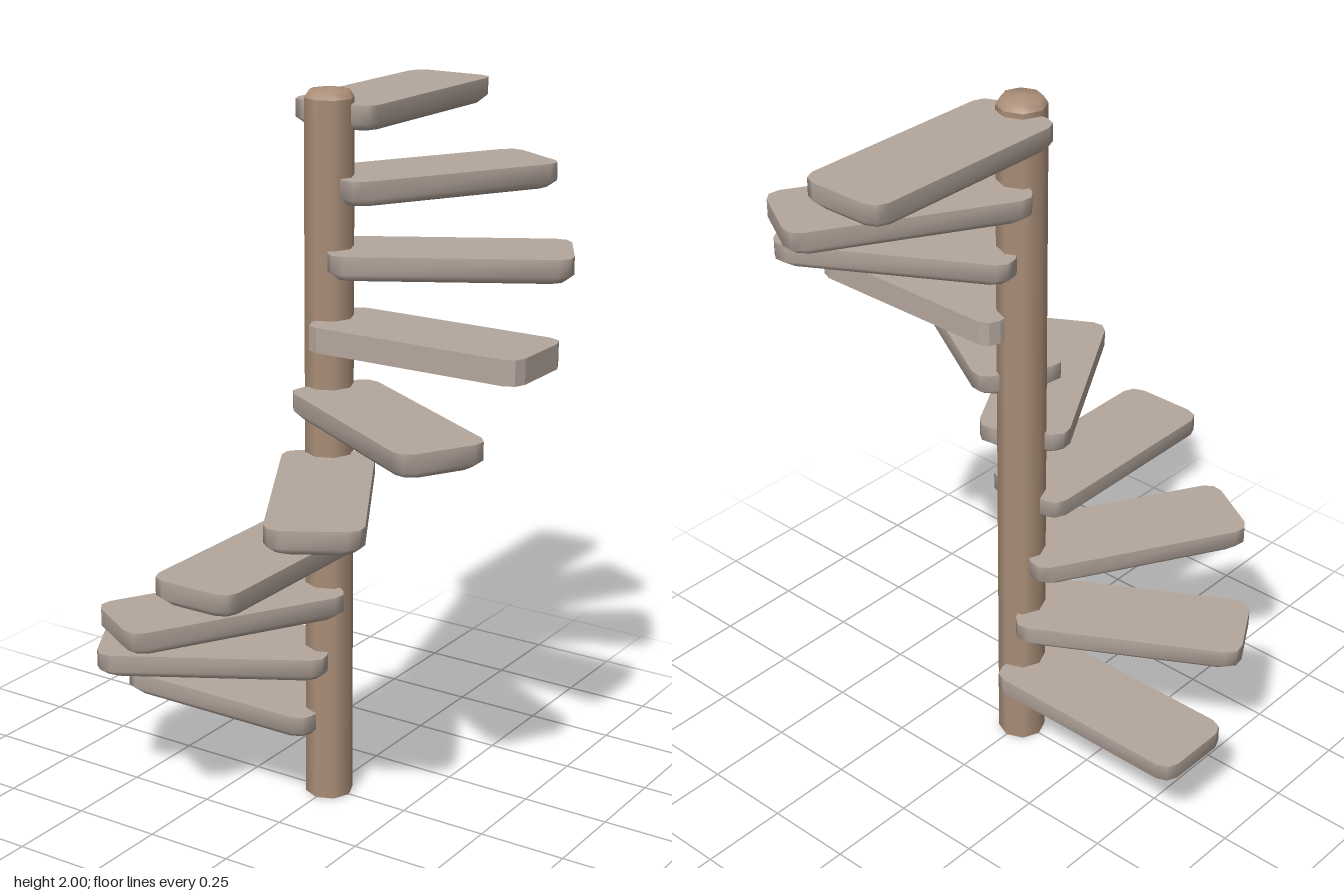
import * as THREE from 'three';

const LENGTH = 0.64, HALF_WIDTH = 0.126, THICKNESS = 0.068, BEVEL = 0.02;

// Rounded rectangle from x = 0 to LENGTH, corners cut by two segments each
function outline(inset, y) {
  const r = 0.042, points = [];
  const corners = [[LENGTH - inset - r, 1], [inset + r, 1], [inset + r, -1], [LENGTH - inset - r, -1]];
  corners.forEach(([cx, side], c) => {
    const cz = side * (HALF_WIDTH - inset - r);
    for (let k = 0; k < 3; k++) {
      const a = (c + k / 2) * Math.PI / 2;
      points.push([cx + r * Math.cos(a), y, cz + r * Math.sin(a)]);
    }
  });
  return points;
}

// Tread with a sharp top edge and, if bevelled, a softened underside
function treadGeometry(bevelled) {
  const rings = bevelled
    ? [outline(BEVEL, 0), outline(0, BEVEL), outline(0, THICKNESS)]
    : [outline(0, 0), outline(0, THICKNESS)];
  const n = rings[0].length;
  const vertices = rings.flat(), index = [];
  for (let r = 0; r < rings.length - 1; r++) {
    for (let i = 0; i < n; i++) {
      const j = (i + 1) % n, a = r * n + i, b = r * n + j;
      index.push(a, a + n, b, b, a + n, b + n);
    }
  }
  // underside fan shares the lowest ring
  const bottom = vertices.push([LENGTH / 2, 0, 0]) - 1;
  // top fan has its own ring, so it stays flat
  const top = vertices.length;
  vertices.push(...rings[rings.length - 1]);
  const centre = vertices.push([LENGTH / 2, THICKNESS, 0]) - 1;
  for (let i = 0; i < n; i++) {
    const j = (i + 1) % n;
    index.push(bottom, i, j, centre, top + j, top + i);
  }
  let geometry = new THREE.BufferGeometry();
  geometry.setAttribute('position', new THREE.Float32BufferAttribute(vertices.flat(), 3));
  geometry.setIndex(index);
  if (!bevelled) geometry = geometry.toNonIndexed();
  geometry.computeVertexNormals();
  return geometry;
}

export function createModel() {
  const model = new THREE.Group();
  model.name = 'spiralStaircase';

  const wood = new THREE.MeshStandardMaterial({ color: 0xaa8e78 });
  wood.name = 'brown post';
  const plank = new THREE.MeshStandardMaterial({ color: 0xb5a79d });
  plank.name = 'pale tread';

  // Central post
  const postTop = 1.972, radius = 0.067;
  const post = new THREE.Mesh(new THREE.CylinderGeometry(radius, radius, postTop, 8), wood);
  post.position.y = postTop / 2;
  post.name = 'post';
  model.add(post);

  // Low domed cap
  const profile = [[radius, postTop], [0.054, 1.992], [0, 2]].map(([x, y]) => new THREE.Vector2(x, y));
  const cap = new THREE.Mesh(new THREE.LatheGeometry(profile, 8), wood);
  cap.name = 'postCap';
  model.add(cap);

  // Ten treads climbing 30 degrees at a time; the seventh is a plain slab
  const soft = treadGeometry(true), plain = treadGeometry(false);
  for (let i = 0; i < 10; i++) {
    const tread = new THREE.Mesh(i === 6 ? plain : soft, plank);
    tread.position.y = 0.191 + i * 0.1887;
    tread.rotation.y = Math.PI + i * Math.PI / 6;
    tread.name = `tread${i + 1}`;
    model.add(tread);
  }
  return model;
}
